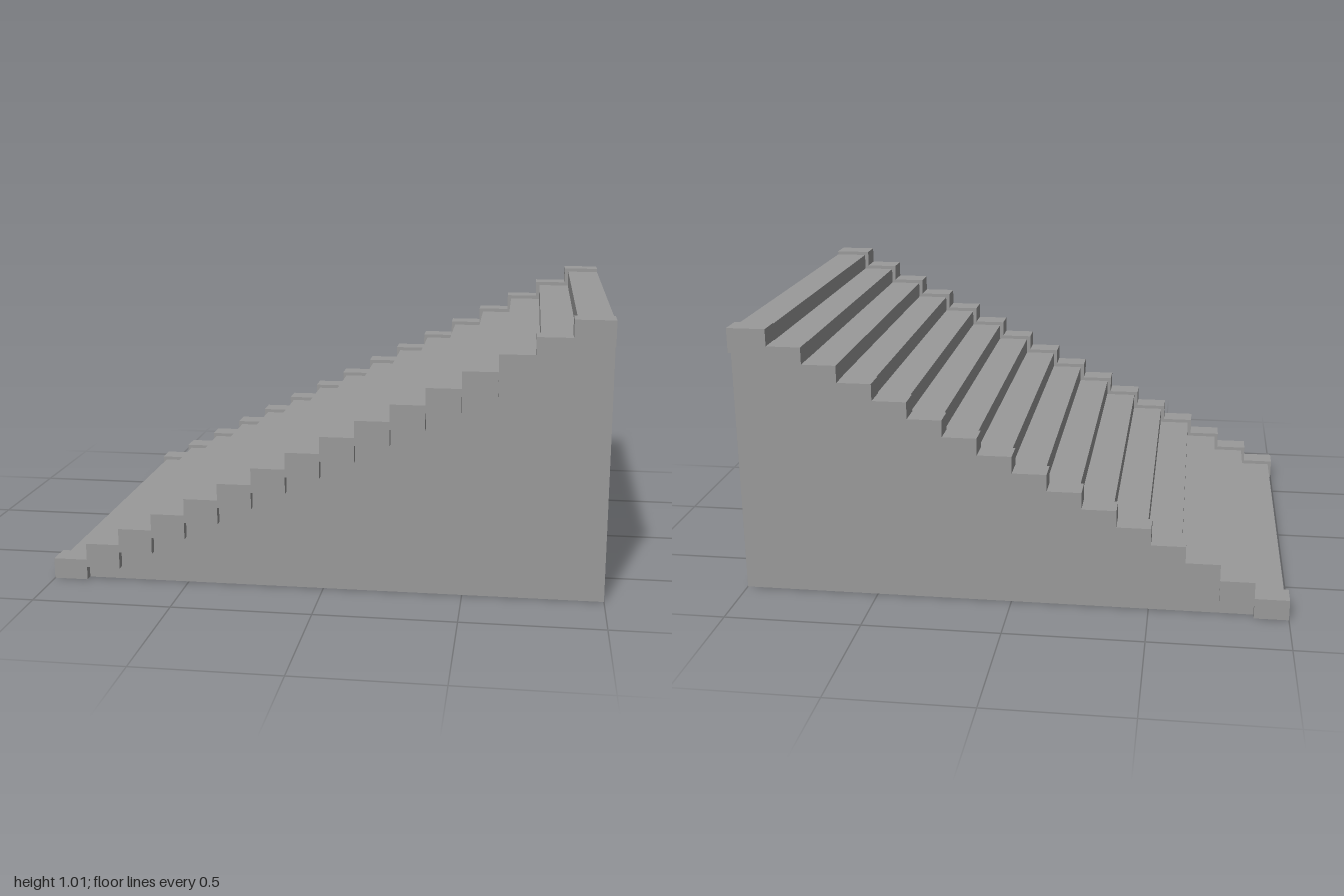
import * as THREE from 'three';

const STEPS = 16, RUN = 0.124, RISE = 0.062;
const HALF_DEPTH = 0.775, BORDER = 0.093, WALL_Z = 0.745;
const GREY = 0x9a9a9a;

// Zigzag of [x, y] points: up each riser, then along each tread to x = 1
function stairProfile(x0, yBottom, yFirst, count) {
  const points = [];
  for (let i = 0; i < count; i++) {
    const x = x0 + i * RUN;
    points.push(new THREE.Vector2(x, i === 0 ? yBottom : yFirst + (i - 1) * RISE));
    points.push(new THREE.Vector2(x, yFirst + i * RISE));
  }
  points.push(new THREE.Vector2(1, yFirst + (count - 1) * RISE));
  return points;
}

// Thin folded sheet: one flat quad per profile segment
function foldedSheet(points, halfWidth) {
  const positions = [];
  for (let i = 0; i < points.length - 1; i++) {
    const a = points[i], b = points[i + 1];
    const quad = [[a, halfWidth], [b, halfWidth], [b, -halfWidth], [a, -halfWidth]];
    for (const k of [0, 1, 2, 0, 2, 3]) positions.push(quad[k][0].x, quad[k][0].y, quad[k][1]);
  }
  const geometry = new THREE.BufferGeometry();
  geometry.setAttribute('position', new THREE.Float32BufferAttribute(positions, 3));
  geometry.computeVertexNormals();
  return geometry;
}

export function createModel() {
  const group = new THREE.Group();
  const solid = new THREE.MeshStandardMaterial({ color: GREY });
  const sheet = new THREE.MeshStandardMaterial({ color: GREY, side: THREE.DoubleSide });

  const add = (name, geometry, material, z = 0) => {
    const mesh = new THREE.Mesh(geometry, material);
    mesh.name = name;
    mesh.position.z = z;
    group.add(mesh);
  };

  // Treads and risers, open underneath
  const steps = stairProfile(-0.985, 0, RISE, STEPS);
  add('treadsAndRisers', foldedSheet(steps, HALF_DEPTH - BORDER), sheet);

  // Stepped borders along both sides
  const upper = stairProfile(-1, 0, 0.076, STEPS);
  const lower = stairProfile(-1 + RUN, 0, 0.048, STEPS - 1);
  const borderShape = new THREE.Shape([...upper, ...lower.slice().reverse()]);
  const borderGeometry = new THREE.ExtrudeGeometry(borderShape, { depth: BORDER, bevelEnabled: false });
  add('frontBorder', borderGeometry, solid, HALF_DEPTH - BORDER);
  add('backBorder', borderGeometry, solid, -HALF_DEPTH);

  // Thin side walls under the borders
  const wallShape = new THREE.Shape([...lower, new THREE.Vector2(1, 0)]);
  const wallGeometry = new THREE.ShapeGeometry(wallShape);
  add('frontWall', wallGeometry, sheet, WALL_Z);
  add('backWall', wallGeometry, sheet, -WALL_Z);

  return group;
}
